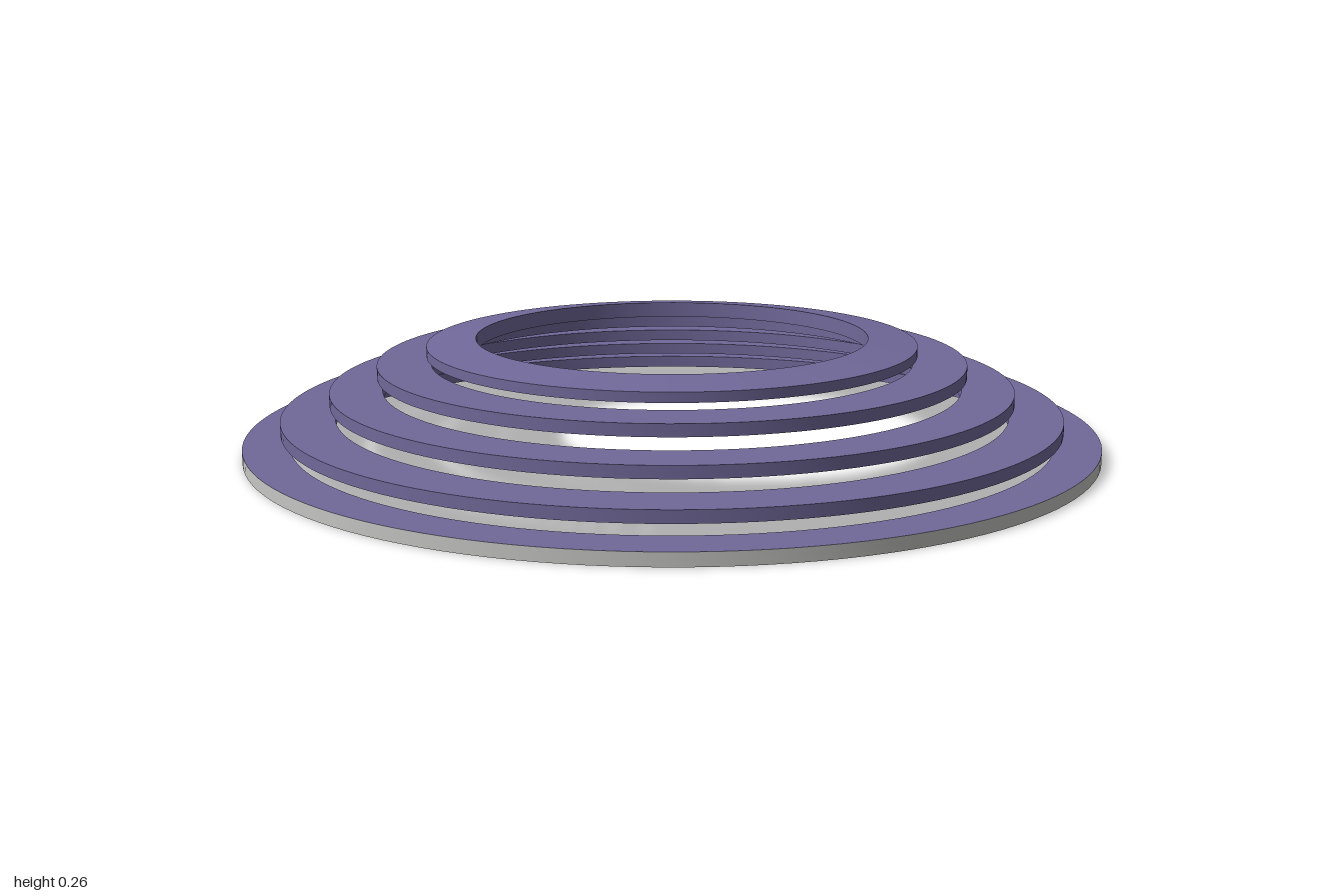
import * as THREE from 'three';
import { toCreasedNormals } from 'three/addons/utils/BufferGeometryUtils.js';

const SEGMENTS = 128;

// Revolve a profile of [radius, height] points, keeping its corners sharp
function revolve(name, profile, material) {
  const points = profile.map(([r, y]) => new THREE.Vector2(r, y));
  const geometry = toCreasedNormals(new THREE.LatheGeometry(points, SEGMENTS), 0.1);
  const mesh = new THREE.Mesh(geometry, material);
  mesh.name = name;
  return mesh;
}

export function createModel() {
  const purple = new THREE.MeshStandardMaterial({ color: 0x71699a });
  purple.name = 'mutedPurple';
  const grey = new THREE.MeshStandardMaterial({ color: 0xc6c7c4 });
  grey.name = 'lightGrey';

  const model = new THREE.Group();
  model.name = 'steppedRings';

  // Base ring: purple faces and a grey outer rim
  const base = new THREE.Group();
  base.name = 'baseRing';
  base.add(
    revolve('baseRingBody', [[1, 0.03], [0.893, 0.03], [0.893, 0], [1, 0]], purple),
    revolve('baseRingRim', [[1, 0], [1, 0.03]], grey),
  );
  model.add(base);

  // Floating flat rings, each slightly overlapping the one below
  const rings = [
    { outer: 0.913, inner: 0.788, bottom: 0.059, top: 0.087 },
    { outer: 0.8, inner: 0.678, bottom: 0.117, top: 0.145 },
    { outer: 0.69, inner: 0.565, bottom: 0.175, top: 0.203 },
  ];
  rings.forEach(({ outer, inner, bottom, top }, i) => {
    model.add(revolve(`middleRing${i + 1}`, [
      [outer, bottom], [outer, top], [inner, top], [inner, bottom], [outer, bottom],
    ], purple));
  });

  // Top ring: its upper face rises gently towards the opening
  model.add(revolve('topRing', [
    [0.575, 0.22], [0.575, 0.243], [0.46, 0.257], [0.46, 0.22], [0.575, 0.22],
  ], purple));

  return model;
}
